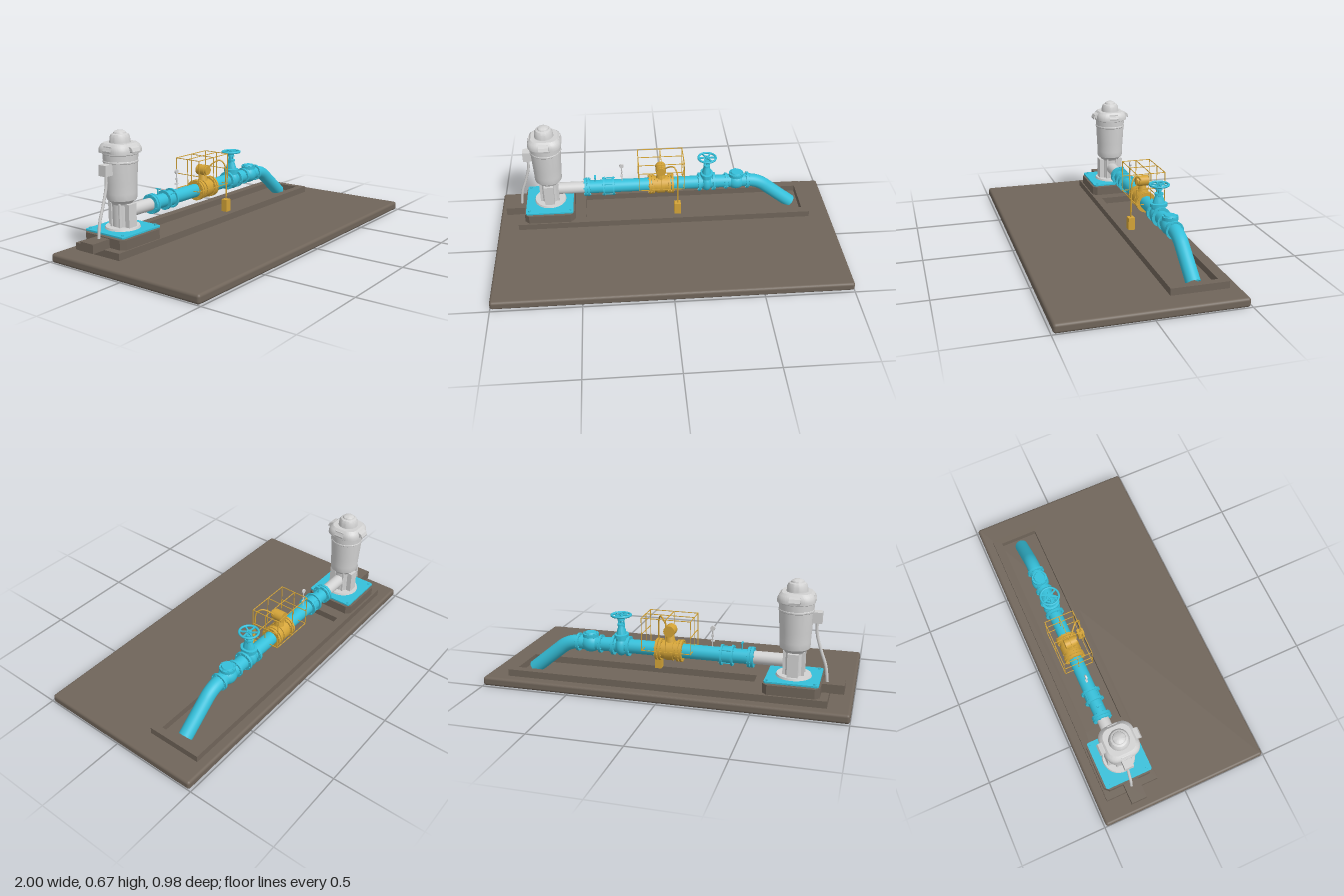
import * as THREE from 'three';
import { RoundedBoxGeometry } from 'three/addons/geometries/RoundedBoxGeometry.js';
import { toCreasedNormals } from 'three/addons/utils/BufferGeometryUtils.js';

const mat = (name, color, side = THREE.FrontSide) => {
  const m = new THREE.MeshStandardMaterial({ color, side });
  m.name = name;
  return m;
};
const V = (x, y, z) => new THREE.Vector3(x, y, z);
const PZ = -0.277; // pipeline centre line
const PY = 0.232;
const MX = -0.69; // pump axis

export function createModel() {
  const root = new THREE.Group();
  const concrete = mat('concrete', 0x70655a);
  const blue = mat('bluePaint', 0x35c0da, THREE.DoubleSide);
  const yellow = mat('yellowPaint', 0xd4a437);
  const grey = mat('greyPaint', 0xd2d2d2);

  const add = (name, geo, m, x = 0, y = 0, z = 0, parent = root) => {
    const mesh = new THREE.Mesh(geo, m);
    mesh.name = name;
    mesh.position.set(x, y, z);
    parent.add(mesh);
    return mesh;
  };
  const box = (name, m, x0, x1, y0, y1, z0, z1) =>
    add(name, new THREE.BoxGeometry(x1 - x0, y1 - y0, z1 - z0), m, (x0 + x1) / 2, (y0 + y1) / 2, (z0 + z1) / 2);
  const upright = (name, m, r0, r1, y0, y1, x, z = PZ, seg = 32) =>
    add(name, new THREE.CylinderGeometry(r1, r0, y1 - y0, seg), m, x, (y0 + y1) / 2, z);
  // cylinder lying along the pipeline
  const along = (name, m, r, x0, x1, y = PY, z = PZ, seg = 32) =>
    add(name, new THREE.CylinderGeometry(r, r, x1 - x0, seg).rotateZ(Math.PI / 2), m, (x0 + x1) / 2, y, z);
  const lathe = (pts, seg = 40) =>
    toCreasedNormals(new THREE.LatheGeometry(pts.map(p => new THREE.Vector2(...p)), seg), 0.5);
  const flange = (name, m, x0, x1, r, bolts = 8) => {
    along(name, m, r, x0, x1);
    for (let i = 0; i < bolts; i++) {
      const a = ((i + 0.5) / bolts) * Math.PI * 2;
      along(name + 'Bolt', m, 0.004, x0 - 0.005, x1 + 0.005,
        PY + Math.cos(a) * (r - 0.007), PZ + Math.sin(a) * (r - 0.007), 6);
    }
  };
  const wire = (name, m, r, pts, seg = 40) =>
    add(name, new THREE.TubeGeometry(new THREE.CatmullRomCurve3(pts), seg, r, 8), m);
  // plan outline extruded upward
  const slab = (name, m, shape, y, h) =>
    add(name, new THREE.ExtrudeGeometry(shape, { depth: h, bevelEnabled: false, curveSegments: 10 }).rotateX(-Math.PI / 2), m, 0, y, 0);
  const poly = pts => pts.map(([x, z]) => new THREE.Vector2(x, -z));
  const chamfered = (x0, x1, z0, z1, c) => new THREE.Shape(poly([
    [x0 + c, z1], [x1 - c, z1], [x1, z1 - c], [x1, z0 + c],
    [x1 - c, z0], [x0 + c, z0], [x0, z0 + c], [x0, z1 - c]]));

  // ground slab, raised kerb with recess, plinth
  add('groundSlab', new RoundedBoxGeometry(2, 0.05, 0.98, 4, 0.015), concrete, 0, 0.025, 0);
  const kerb = new THREE.Shape(poly([[-0.88, -0.12], [0.87, -0.12], [0.87, -0.433], [-0.88, -0.433]]));
  kerb.holes.push(new THREE.Path(poly([[-0.48, -0.165], [-0.48, -0.385], [0.83, -0.385], [0.83, -0.165]])));
  slab('kerb', concrete, kerb, 0.049, 0.039);
  slab('pumpPlinth', concrete, chamfered(-0.84, -0.545, -0.422, -0.128, 0.025), 0.088, 0.052);
  box('cableBlock', concrete, -0.955, -0.84, 0.086, 0.135, -0.315, -0.225);

  // pump base plate
  slab('basePlate', blue, chamfered(-0.832, -0.552, -0.412, -0.135, 0.008), 0.146, 0.009);
  upright('groutPad', concrete, 0.125, 0.125, 0.139, 0.147, MX);
  for (const sx of [-1, 1]) for (const sz of [-1, 1])
    upright('anchorBolt', blue, 0.007, 0.007, 0.14, 0.162, MX + sx * 0.122, PZ + sz * 0.118, 6);

  // discharge head
  upright('headFlange', grey, 0.094, 0.09, 0.155, 0.166, MX);
  upright('headColumn', grey, 0.054, 0.054, 0.16, 0.3, MX);
  for (const s of [-1, 1]) {
    box('headCheek', grey, MX - 0.028, MX + 0.028, 0.16, 0.29, PZ + s * 0.058 - 0.017, PZ + s * 0.058 + 0.017);
    for (const k of [-1, 1])
      box('headRib', grey, MX + k * 0.048 - 0.008, MX + k * 0.048 + 0.008, 0.16, 0.295, PZ + s * 0.03 - 0.005, PZ + s * 0.03 + 0.005);
  }

  // motor
  add('motorBody', lathe([[0, 0.285], [0.055, 0.285], [0.06, 0.295], [0.078, 0.31], [0.08, 0.318], [0.08, 0.345],
    [0.083, 0.4], [0.089, 0.505], [0.092, 0.508], [0.092, 0.515], [0.09, 0.518], [0.092, 0.55],
    [0.096, 0.553], [0.096, 0.562], [0, 0.562]]), grey, MX, 0, PZ);
  // rounded-square cap narrowing upward
  const cap = (half, r) => {
    const s = new THREE.Shape();
    for (let i = 0; i < 4; i++) {
      const a = i * Math.PI / 2, k = half - r;
      const c = [[k, k], [-k, k], [-k, -k], [k, -k]][i];
      s.absarc(c[0], c[1], r, a, a + Math.PI / 2, false);
    }
    return s;
  };
  const capGeo = new THREE.ExtrudeGeometry(cap(0.096, 0.06), { depth: 0.048, steps: 4, bevelEnabled: false, curveSegments: 8 });
  const cp = capGeo.attributes.position;
  for (let i = 0; i < cp.count; i++) {
    const t = cp.getZ(i) / 0.048, k = 1 - 0.22 * t * t * t;
    cp.setXY(i, cp.getX(i) * k, cp.getY(i) * k);
  }
  add('motorCap', toCreasedNormals(capGeo.rotateX(-Math.PI / 2), 0.6), grey, MX, 0.56, PZ);
  add('motorDome', lathe([[0.056, 0.605], [0.054, 0.615], [0.052, 0.638], [0.044, 0.651], [0.034, 0.655],
    [0.031, 0.662], [0.02, 0.669], [0, 0.671]]), grey, MX, 0, PZ);
  // hooded air vents around the cap
  for (let i = 0; i < 4; i++) {
    const reach = i % 2 ? 0.098 : 0.116;
    const hood = new THREE.Shape([[0.075, 0.6], [0.07, 0.555], [0.088, 0.555], [reach - 0.012, 0.575], [reach - 0.002, 0.562],
      [reach, 0.572], [reach - 0.008, 0.59], [0.09, 0.597]].map(p => new THREE.Vector2(...p)));
    const geo = new THREE.ExtrudeGeometry(hood, { depth: 0.056, bevelEnabled: false }).translate(0, 0, -0.028);
    add('ventHood', geo, grey, MX, 0, PZ).rotation.y = (i + 1) * Math.PI / 2;
  }
  box('terminalBox', grey, -0.823, -0.765, 0.45, 0.508, PZ - 0.025, PZ + 0.025);
  wire('powerCable', grey, 0.008, [V(-0.797, 0.46, PZ), V(-0.8, 0.39, PZ), V(-0.825, 0.3, PZ), V(-0.852, 0.22, PZ), V(-0.865, 0.125, PZ)]);

  // pipeline
  along('outletPipe', grey, 0.035, -0.66, -0.47);
  const run = new THREE.CurvePath();
  run.add(new THREE.LineCurve3(V(-0.47, PY, PZ), V(0.5, PY, PZ)));
  run.add(new THREE.QuadraticBezierCurve3(V(0.5, PY, PZ), V(0.562, PY, PZ), V(0.61, 0.193, PZ)));
  run.add(new THREE.LineCurve3(V(0.61, 0.193, PZ), V(0.78, 0.055, PZ)));
  add('mainPipe', new THREE.TubeGeometry(run, 120, 0.039, 32), blue);
  flange('pipeFlange', blue, -0.48, -0.466, 0.055);
  flange('pipeFlange', blue, -0.462, -0.449, 0.055);
  along('couplingSleeve', blue, 0.045, -0.365, -0.305);
  for (const x of [-0.37, -0.312]) flange('couplingRing', blue, x, x + 0.01, 0.056, 4);
  for (let i = 0; i < 4; i++) {
    const a = (i + 0.5) * Math.PI / 2;
    along('tieRod', blue, 0.003, -0.37, -0.302, PY + Math.cos(a) * 0.05, PZ + Math.sin(a) * 0.05, 6);
  }

  // small tap and pressure gauge
  upright('tapStem', blue, 0.004, 0.004, 0.265, 0.305, -0.415, PZ, 8);
  box('tapLever', blue, -0.42, -0.41, 0.303, 0.308, PZ - 0.01, PZ + 0.02);
  upright('gaugeStem', grey, 0.003, 0.003, 0.265, 0.365, -0.255, PZ, 8);
  box('gaugeCock', grey, -0.267, -0.247, 0.3, 0.306, PZ - 0.006, PZ + 0.006);
  upright('gaugeNut', grey, 0.006, 0.006, 0.325, 0.338, -0.255, PZ, 6);
  add('gaugeDial', new THREE.CylinderGeometry(0.013, 0.013, 0.01, 20).rotateX(Math.PI / 2), grey, -0.255, 0.373, PZ);

  // flow meter
  along('meterBody', yellow, 0.05, -0.08, 0.035);
  for (const x of [-0.094, -0.076, 0.023, 0.041]) flange('meterFlange', yellow, x, x + 0.012, 0.06);
  along('meterBand', yellow, 0.056, -0.045, 0);
  upright('meterNeck', yellow, 0.03, 0.02, 0.275, 0.315, -0.022);
  add('meterRegister', new THREE.CylinderGeometry(0.031, 0.031, 0.06, 28).rotateX(Math.PI / 2), yellow, -0.022, 0.342, PZ);
  add('registerLid', new THREE.CylinderGeometry(0.026, 0.026, 0.012, 28).rotateX(Math.PI / 2), yellow, -0.022, 0.342, PZ + 0.034);
  wire('signalConduit', yellow, 0.0045, [V(0, 0.35, -0.26), V(0.025, 0.38, -0.235), V(0.052, 0.395, -0.208),
    V(0.068, 0.37, -0.185), V(0.072, 0.28, -0.178), V(0.072, 0.15, -0.178)]);
  box('signalBox', yellow, 0.053, 0.091, 0.087, 0.16, -0.197, -0.159);

  // wire cage over the meter
  const [cx, cy, cz] = [[-0.155, -0.021, 0.113], [0.245, 0.335, 0.425], [-0.364, -0.28, -0.196]];
  const bar = (x0, x1, y0, y1, z0, z1) => {
    const t = 0.0018;
    box('cageBar', yellow, x0 - t, x1 + t, y0 - t, y1 + t, z0 - t, z1 + t);
  };
  for (const x of cx) {
    bar(x, x, cy[2], cy[2], cz[0], cz[2]);
    for (const z of cz) if (x !== cx[1] || z !== cz[1]) bar(x, x, cy[0], cy[2], z, z);
  }
  for (const z of cz) bar(cx[0], cx[2], cy[2], cy[2], z, z);
  for (const z of [cz[0], cz[2]]) bar(cx[0], cx[2], cy[0], cy[0], z, z);
  for (const x of [cx[0], cx[2]]) for (const y of [cy[0], cy[1]]) bar(x, x, y, y, cz[0], cz[2]);

  // gate valve with handwheel
  const GX = 0.255;
  flange('valveFlange', blue, 0.205, 0.219, 0.055);
  flange('valveFlange', blue, 0.291, 0.305, 0.055);
  add('valveBody', new THREE.SphereGeometry(1, 28, 18).scale(0.036, 0.056, 0.05), blue, GX, PY, PZ);
  add('valveBonnet', lathe([[0.03, 0.25], [0.03, 0.282], [0.038, 0.282], [0.038, 0.3], [0.027, 0.302], [0.022, 0.325],
    [0.015, 0.345], [0.02, 0.347], [0.02, 0.358], [0, 0.358]], 28), blue, GX, 0, PZ).scale.z = 1.3;
  for (const s of [-1, 1]) box('yokeArm', blue, GX + s * 0.014 - 0.003, GX + s * 0.014 + 0.003, 0.33, 0.385, PZ - 0.007, PZ + 0.007);
  upright('yokeTop', blue, 0.02, 0.018, 0.378, 0.392, GX);
  upright('valveStem', blue, 0.006, 0.006, 0.34, 0.417, GX, PZ, 12);
  add('handwheelRim', new THREE.TorusGeometry(0.052, 0.0065, 10, 36).rotateX(Math.PI / 2), blue, GX, 0.406, PZ);
  upright('handwheelHub', blue, 0.013, 0.013, 0.398, 0.413, GX, PZ, 16);
  for (let i = 0; i < 3; i++)
    add('handwheelSpoke', new THREE.BoxGeometry(0.102, 0.006, 0.009), blue, GX, 0.406, PZ).rotation.y = i * Math.PI / 3;

  // check valve
  flange('checkFlange', blue, 0.367, 0.38, 0.05);
  flange('checkFlange', blue, 0.497, 0.51, 0.05);
  add('checkBody', new THREE.SphereGeometry(1, 28, 18).scale(0.055, 0.05, 0.05), blue, 0.435, PY, PZ);
  upright('checkNeck', blue, 0.036, 0.036, 0.24, 0.275, 0.435);
  upright('checkCover', blue, 0.044, 0.044, 0.27, 0.288, 0.435);
  upright('checkLid', blue, 0.034, 0.03, 0.288, 0.296, 0.435);
  for (let i = 0; i < 8; i++) {
    const a = i * Math.PI / 4;
    upright('coverBolt', blue, 0.004, 0.004, 0.266, 0.292, 0.435 + Math.cos(a) * 0.039, PZ + Math.sin(a) * 0.039, 6);
  }
  return root;
}
